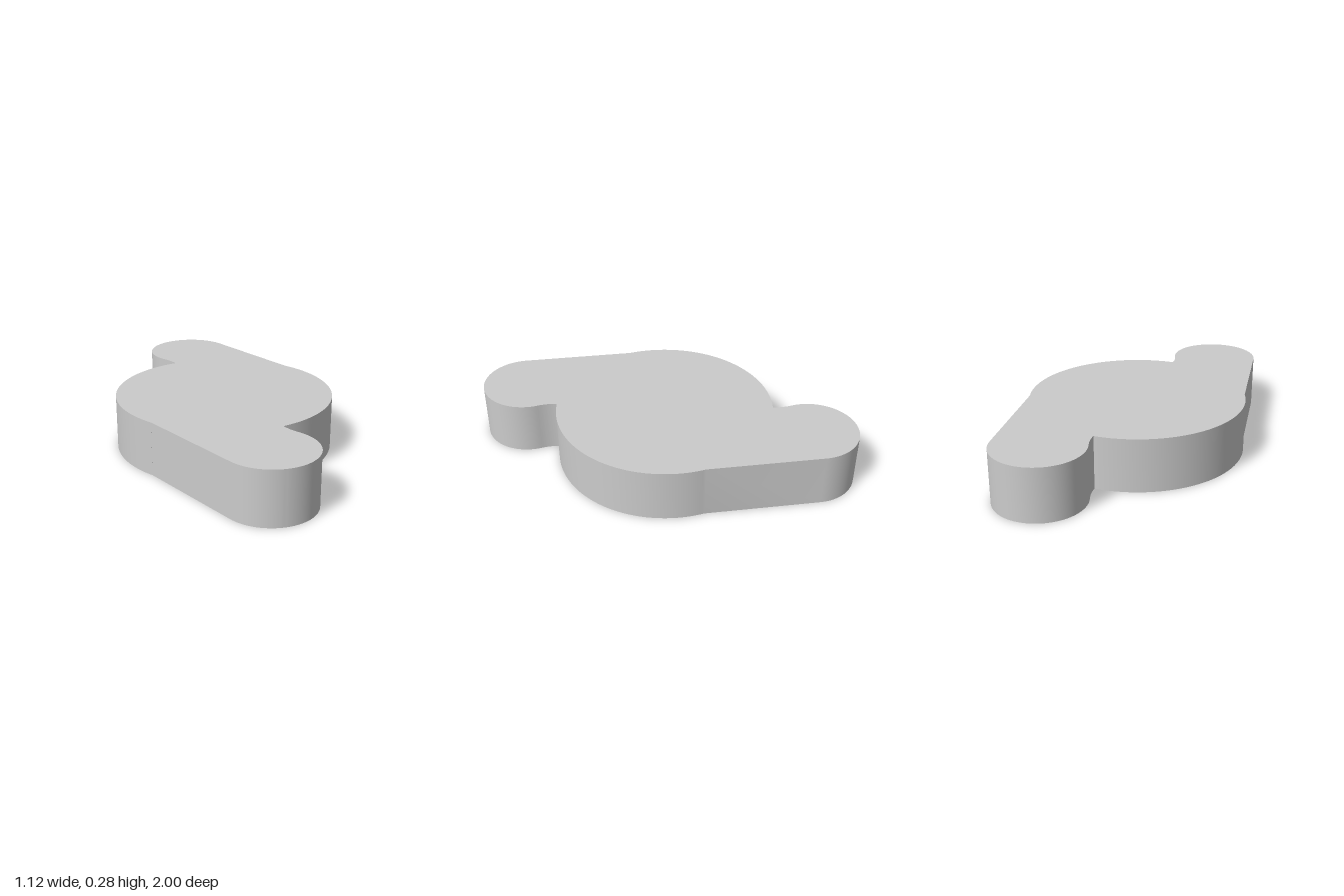
import * as THREE from 'three';
import { toCreasedNormals } from 'three/addons/utils/BufferGeometryUtils.js';

const HEIGHT = 0.275;
const DISC_R = 0.56;
const LOBE_R = 0.23;
const LOBE_Z = 0.77;

export function createModel() {
  const group = new THREE.Group();
  const rad = THREE.MathUtils.degToRad;

  // Outline drawn in x/z: one half, then the same half turned by 180 degrees
  const outline = new THREE.Shape();
  outline.moveTo(-0.45, 0.333);
  for (const [s, turn] of [[1, 0], [-1, Math.PI]]) {
    // straight flank, tangent to the lobe
    outline.lineTo(-0.209 * s, 0.866 * s);
    // round lobe
    outline.absarc(0, LOBE_Z * s, LOBE_R, rad(155.5) + turn, rad(-37) + turn, true);
    // concave neck running into the notch
    outline.quadraticCurveTo(0.153 * s, 0.59 * s, 0.14 * s, 0.542 * s);
    // edge of the central disc
    outline.absarc(0, 0, DISC_R, rad(75.5) + turn, rad(-36.5) + turn, true);
  }
  outline.closePath();

  // Flat plate lying on the ground
  const extruded = new THREE.ExtrudeGeometry(outline, {
    depth: HEIGHT, bevelEnabled: false, curveSegments: 32,
  });
  extruded.rotateX(Math.PI / 2).translate(0, HEIGHT, 0);

  const plate = new THREE.Mesh(
    toCreasedNormals(extruded, rad(20)),
    new THREE.MeshStandardMaterial({ color: 0xcccccc }),
  );
  plate.name = 'twoLobedPlate';
  group.add(plate);
  return group;
}
